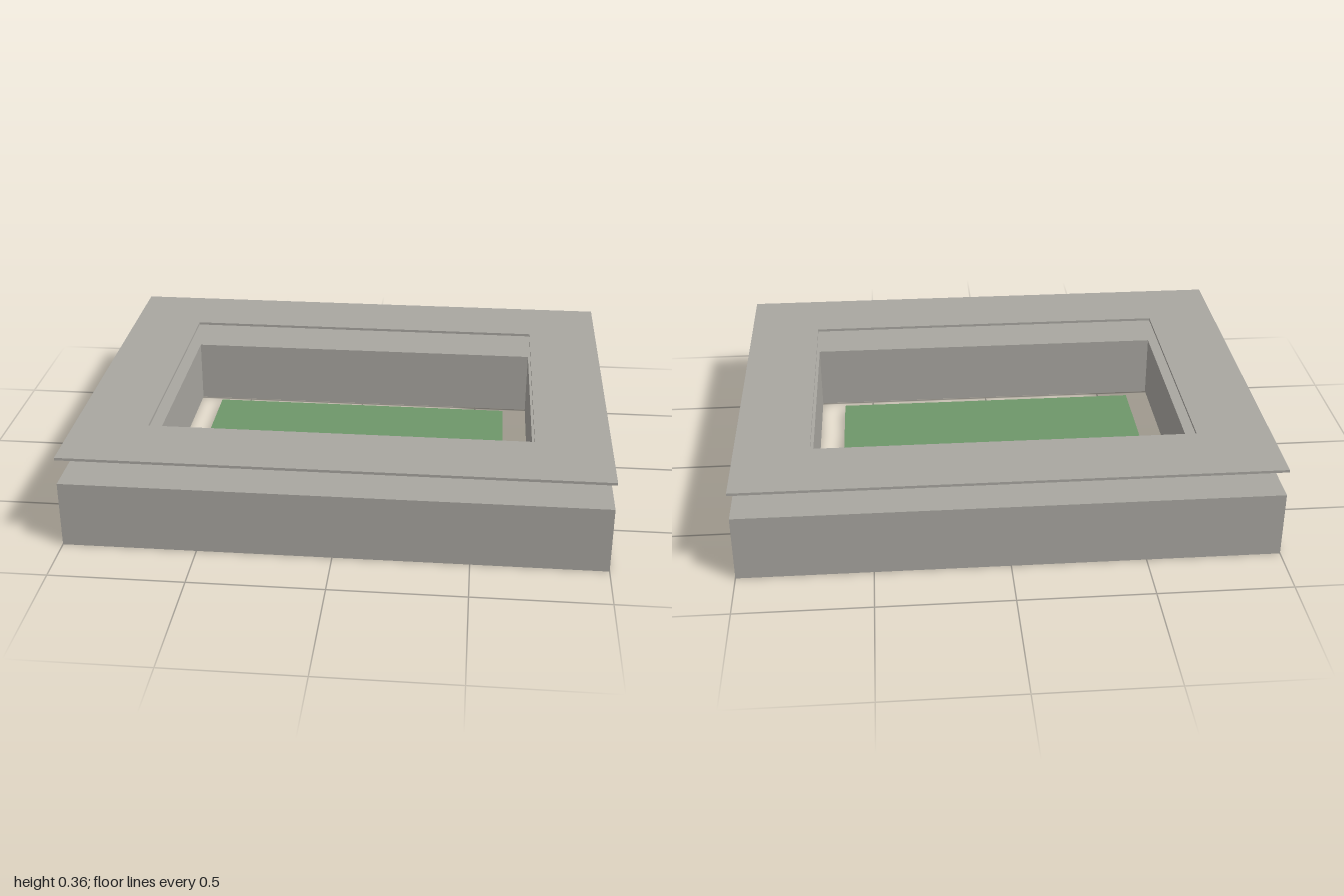
import * as THREE from 'three';

const stone = new THREE.MeshStandardMaterial({ color: 0xa8a6a0 });
stone.name = 'stone grey';
const grass = new THREE.MeshStandardMaterial({ color: 0x6e966a });
grass.name = 'grass green';

// Rectangular ring, outer and inner half sizes in x and z, from y0 up by height
function ring(name, y0, height) {
  const rect = (target, x, z) => target.moveTo(-x, -z).lineTo(x, -z).lineTo(x, z).lineTo(-x, z).closePath();
  const shape = rect(new THREE.Shape(), 1, 0.79);
  shape.holes.push(rect(new THREE.Path(), 0.72, 0.505));
  const geometry = new THREE.ExtrudeGeometry(shape, { depth: height, bevelEnabled: false });
  geometry.rotateX(-Math.PI / 2).translate(0, y0, 0);
  const mesh = new THREE.Mesh(geometry, stone);
  mesh.name = name;
  return mesh;
}

export function createModel() {
  const model = new THREE.Group();
  model.name = 'stadium';

  // Solid stand block and the thin roof floating above it
  model.add(ring('stands', 0, 0.255));
  model.add(ring('roof', 0.352, 0.01));

  // Thin playing field inside the opening
  const field = new THREE.Mesh(new THREE.BoxGeometry(1.24, 0.004, 0.865), grass);
  field.name = 'field';
  field.position.set(0, 0.022, -0.002);
  model.add(field);

  return model;
}
